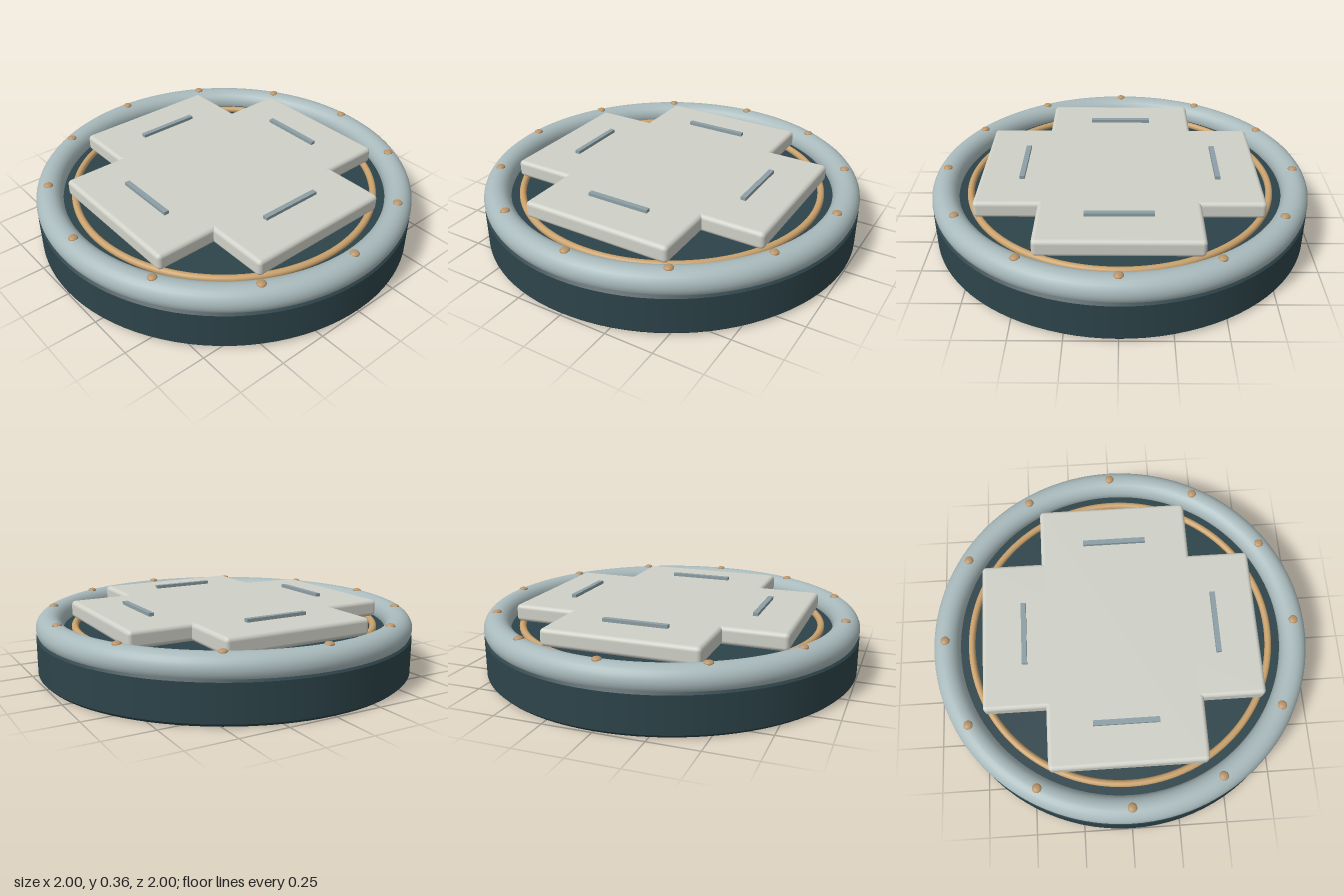
import * as THREE from 'three';
import { RoundedBoxGeometry } from 'three/addons/geometries/RoundedBoxGeometry.js';

const material = (color) => new THREE.MeshStandardMaterial({ color });
const DARK = material(0x2d444a);
const STEEL = material(0xa9babc);
const GOLD = material(0xc9a16c);
const RIVET = material(0xb8946a);
const PALE = material(0xcfd0c7);
const TRIM = material(0x8c9fa5);

export function createModel() {
  const model = new THREE.Group();

  const add = (name, geometry, mat, x = 0, y = 0, z = 0) => {
    const mesh = new THREE.Mesh(geometry, mat);
    mesh.name = name;
    mesh.position.set(x, y, z);
    model.add(mesh);
    return mesh;
  };

  // Drum base with narrow bevels; doubled points keep the edges crisp
  const profile = [
    [0, 0], [0.985, 0], [0.985, 0], [1, 0.015], [1, 0.015],
    [1, 0.2], [1, 0.2], [0.985, 0.215], [0.985, 0.215], [0, 0.215],
  ].map(([r, y]) => new THREE.Vector2(r, y));
  add('drumBase', new THREE.LatheGeometry(profile, 96), DARK);

  // Raised deck inside the rim
  add('deck', new THREE.CylinderGeometry(0.88, 0.88, 0.03, 96), DARK, 0, 0.215, 0);

  // Rounded outer rim and thin inlaid ring
  const ring = (radius, tube) => new THREE.TorusGeometry(radius, tube, 24, 128).rotateX(Math.PI / 2);
  add('outerRim', ring(0.93, 0.07), STEEL, 0, 0.247, 0);
  add('inlayRing', ring(0.8, 0.018), GOLD, 0, 0.24, 0);

  // Cross-shaped top plate from two soft-edged slabs
  const slab = (w, d) => new RoundedBoxGeometry(w, 0.09, d, 4, 0.022);
  add('crossPlateWide', slab(1.456, 0.81), PALE, 0, 0.302, 0);
  add('crossPlateDeep', slab(0.81, 1.456), PALE, 0, 0.302, 0);

  // Slim bar on each arm of the cross
  for (let i = 0; i < 4; i++) {
    const a = i * Math.PI / 2;
    const bar = add('armBar', new THREE.BoxGeometry(0.34, 0.024, 0.027), TRIM,
      Math.sin(a) * 0.507, 0.352, Math.cos(a) * 0.507);
    bar.rotation.y = a;
  }

  // Twelve domed rivets around the rim
  const rivet = new THREE.SphereGeometry(0.024, 20, 12).scale(1, 0.55, 1);
  for (let i = 0; i < 12; i++) {
    const a = i * Math.PI / 6;
    add('rivet', rivet, RIVET, Math.sin(a) * 0.93, 0.315, Math.cos(a) * 0.93);
  }

  return model;
}
